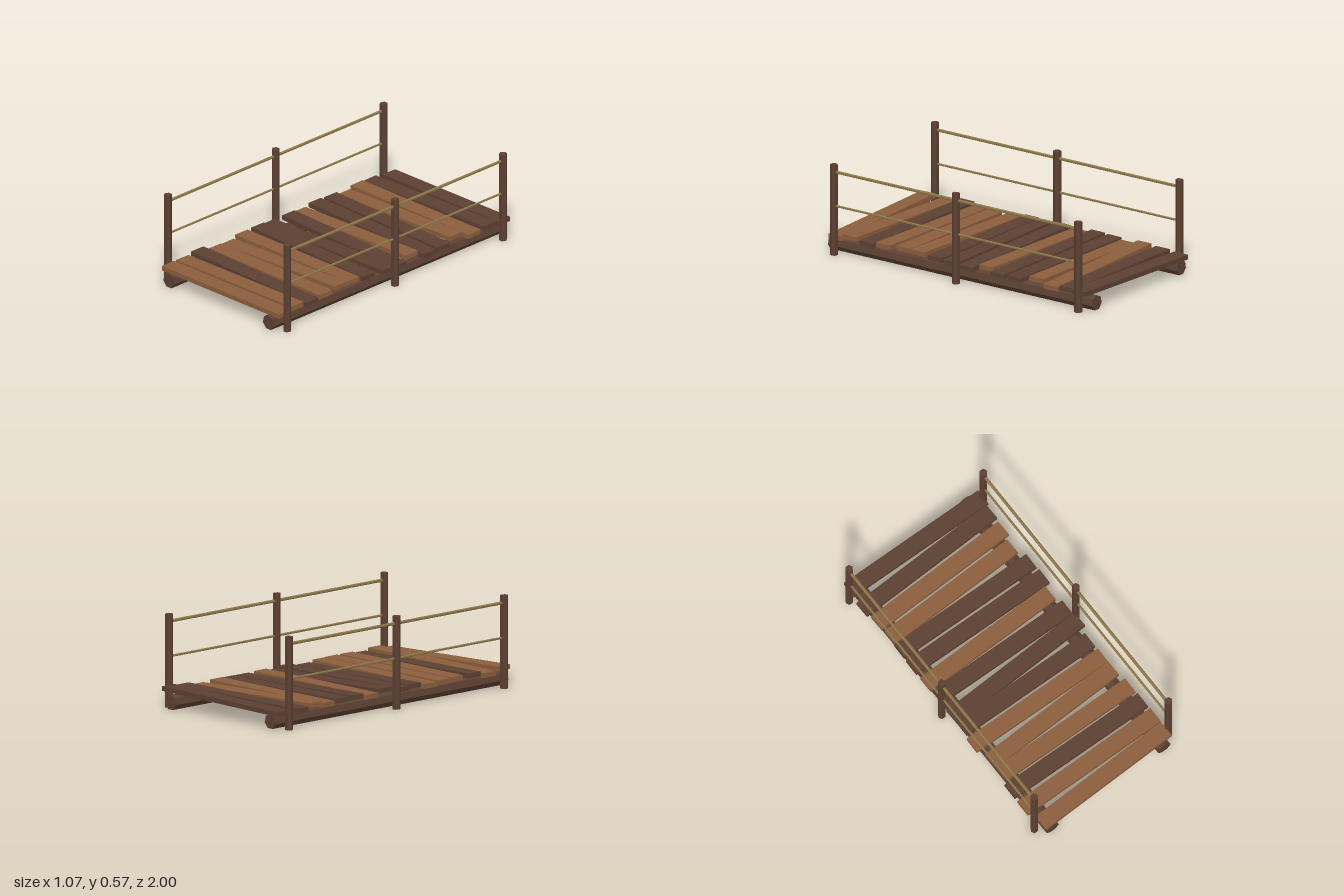
import * as THREE from 'three';

const mat = (name, color) => {
  const m = new THREE.MeshStandardMaterial({ color, flatShading: true });
  m.name = name;
  return m;
};

export function createModel() {
  const dark = mat('darkWood', 0x5c4033);
  const light = mat('lightWood', 0x8b5e3c);
  const rope = mat('rope', 0x8b7648);

  const group = new THREE.Group();
  group.name = 'plankBridge';
  const add = (name, geometry, material, x, y, z) => {
    const mesh = new THREE.Mesh(geometry, material);
    mesh.name = name;
    mesh.position.set(x, y, z);
    group.add(mesh);
    return mesh;
  };

  // Seven-sided support logs, six-sided posts and the handrail ropes
  const logGeo = new THREE.CylinderGeometry(0.048, 0.048, 1.99, 7).rotateX(-Math.PI / 2);
  const postGeo = new THREE.CylinderGeometry(0.0245, 0.0245, 0.573, 6).rotateY(Math.PI / 2);
  const ropeGeo = (r) => new THREE.CylinderGeometry(r, r, 1.84, 6).rotateX(Math.PI / 2);
  const upperGeo = ropeGeo(0.01);
  const lowerGeo = ropeGeo(0.0075);
  for (const [label, s] of [['left', 1], ['right', -1]]) {
    add(label + 'SupportLog', logGeo, dark, s * 0.423 - 0.002, 0.05, -0.004);
    for (const z of [-0.923, -0.003, 0.917]) add(label + 'Post', postGeo, dark, s * 0.508, 0.2865, z);
    add(label + 'UpperRope', upperGeo, rope, s * 0.508, 0.527, -0.003);
    add(label + 'LowerRope', lowerGeo, rope, s * 0.508, 0.312, -0.003);
  }

  // Deck planks, back to front: [light?, x start, x end, z at start, z at end, roll]
  const planks = [
    [0, -0.49, 0.51, -0.950, -0.927, 0.02],
    [0, -0.505, 0.495, -0.802, -0.823, 0.015],
    [1, -0.49, 0.49, -0.675, -0.699, -0.015],
    [1, -0.48, 0.46, -0.556, -0.570, 0.02],
    [0, -0.49, 0.495, -0.450, -0.430, -0.005],
    [0, -0.495, 0.50, -0.323, -0.305, -0.01],
    [1, -0.49, 0.46, -0.188, -0.194, 0.02],
    [0, -0.475, 0.49, -0.077, -0.064, -0.02],
    [0, -0.49, 0.50, 0.076, 0.045, 0.005],
    [0, -0.49, 0.47, 0.171, 0.186, -0.01],
    [1, -0.505, 0.47, 0.292, 0.316, 0.015],
    [1, -0.475, 0.47, 0.440, 0.421, 0.02],
    [1, -0.475, 0.485, 0.546, 0.567, 0.01],
    [0, -0.505, 0.49, 0.669, 0.685, -0.01],
    [1, -0.505, 0.49, 0.797, 0.812, 0.02],
    [1, -0.48, 0.49, 0.944, 0.917, -0.015],
  ];
  for (const [isLight, x0, x1, z0, z1, roll] of planks) {
    const geo = new THREE.BoxGeometry(x1 - x0, 0.029, 0.104);
    const plank = add('deckPlank', geo, isLight ? light : dark, (x0 + x1) / 2, 0.111, (z0 + z1) / 2);
    plank.rotation.set(0, -Math.atan2(z1 - z0, x1 - x0), roll);
  }
  return group;
}
